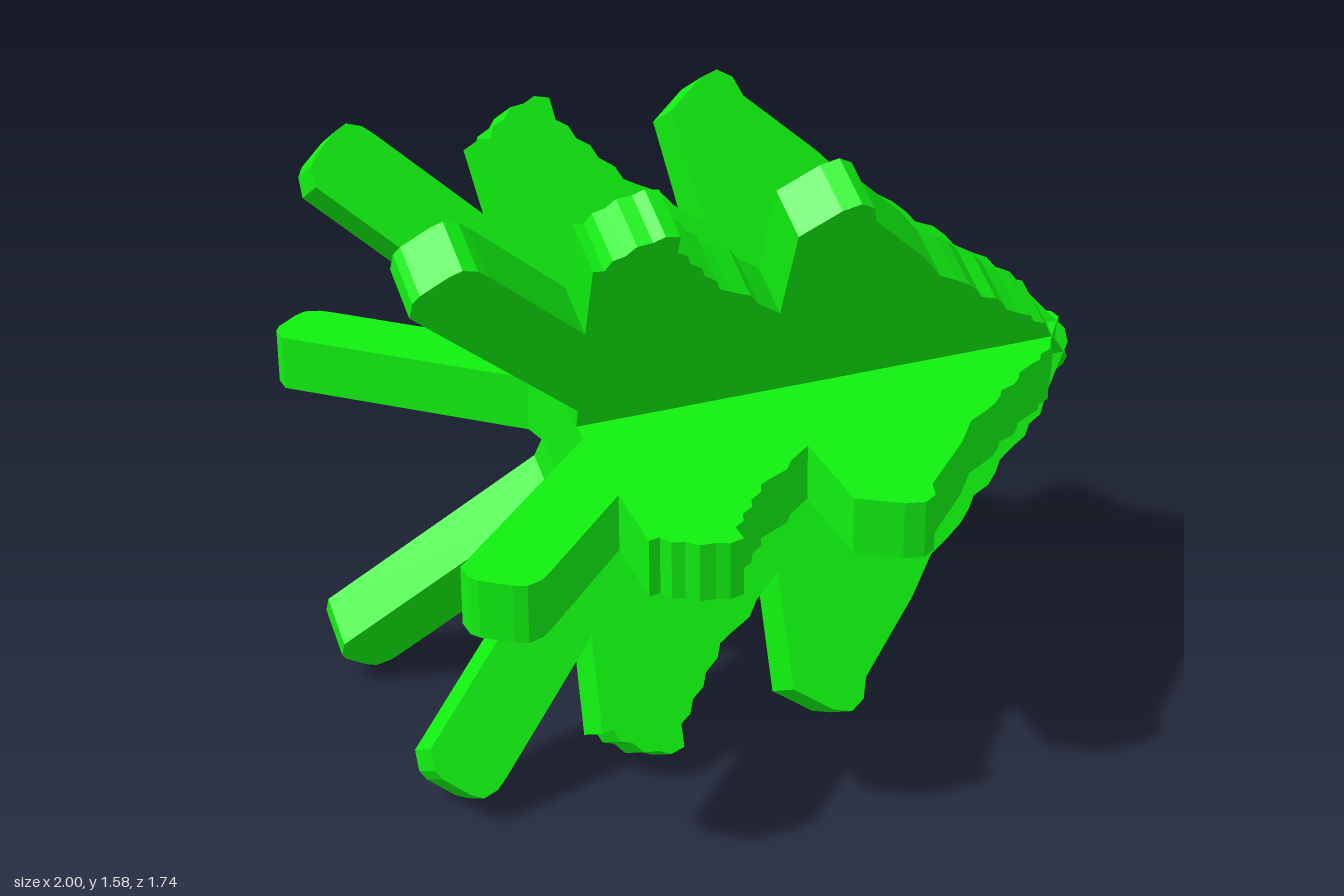
import * as THREE from 'three';

const THICKNESS = 0.15;
const AXIS_HEIGHT = 0.793;

// Half outline of a plate: [position along the axis, distance from it], tip to base
const OUTLINE = [
  // ragged first bough
  [1, 0.02], [0.96, 0.07], [0.9, 0.15], [0.87, 0.2], [0.83, 0.22], [0.81, 0.25], [0.77, 0.27],
  [0.72, 0.3], [0.7, 0.33], [0.67, 0.36], [0.62, 0.38], [0.6, 0.41], [0.565, 0.445],
  [0.52, 0.475], [0.46, 0.51], [0.42, 0.56], [0.38, 0.61], [0.2, 0.79], [0.18, 0.845],
  [0.14, 0.87], [0.09, 0.855], [-0.01, 0.78], [0.015, 0.47],
  // ragged second bough
  [-0.06, 0.53], [-0.09, 0.57], [-0.15, 0.6], [-0.185, 0.62], [-0.2, 0.655], [-0.24, 0.685],
  [-0.255, 0.72], [-0.29, 0.745], [-0.305, 0.78], [-0.335, 0.8], [-0.34, 0.86], [-0.38, 0.87],
  [-0.41, 0.855], [-0.45, 0.85], [-0.475, 0.82], [-0.505, 0.81], [-0.52, 0.775],
  [-0.55, 0.78], [-0.525, 0.53],
  // plain third bough and notch at the base
  [-0.82, 0.83], [-0.85, 0.857], [-0.89, 0.87], [-0.92, 0.855], [-0.985, 0.8], [-1, 0.775],
  [-1, 0.72], [-0.485, 0.2], [-0.475, 0.12],
];

export function createModel() {
  const group = new THREE.Group();
  group.name = 'treeOnItsSide';

  // Mirrored outline extruded into one double-sided plate
  const mirrored = OUTLINE.map(([x, r]) => [x, -r]).reverse();
  const shape = new THREE.Shape([...OUTLINE, ...mirrored].map(([x, r]) => new THREE.Vector2(x, r)));
  const geometry = new THREE.ExtrudeGeometry(shape, { depth: THICKNESS, bevelEnabled: false });
  geometry.translate(0, 0, -THICKNESS / 2);

  const material = new THREE.MeshStandardMaterial({ color: 0x10f010, flatShading: true });

  // Three plates crossing along the trunk axis
  for (let i = 0; i < 3; i++) {
    const plate = new THREE.Mesh(geometry, material);
    plate.name = `branchPlate${i + 1}`;
    plate.position.y = AXIS_HEIGHT;
    plate.rotation.x = Math.PI / 2 + (i * Math.PI) / 3;
    group.add(plate);
  }
  return group;
}
